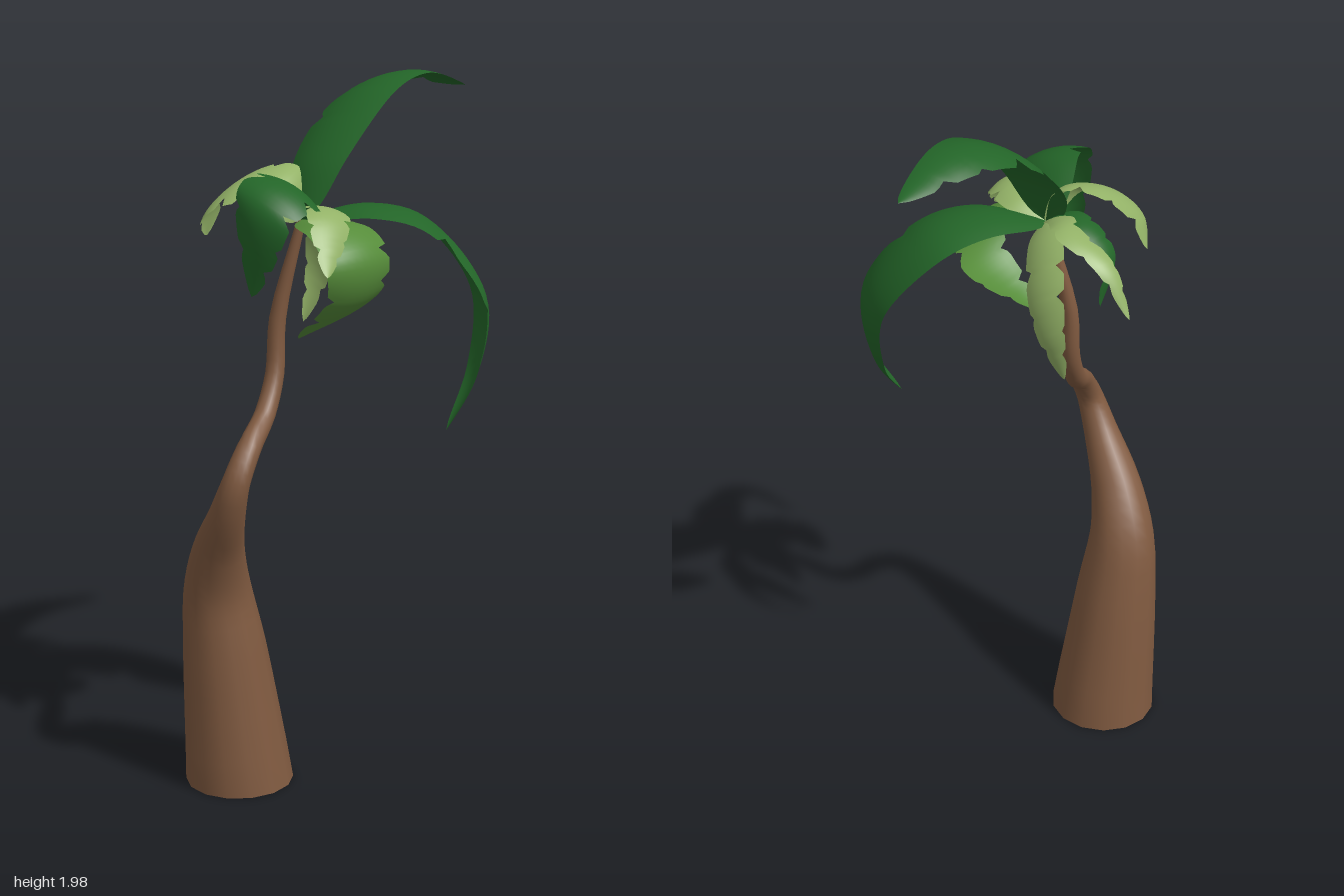
import * as THREE from 'three';

const mat = (name, color) => {
  const m = new THREE.MeshStandardMaterial({ color, side: THREE.DoubleSide });
  m.name = name;
  return m;
};

const CROWN = [-0.165, 1.62, -0.07];
const curve = (pts) => new THREE.CatmullRomCurve3(pts.map((p) => new THREE.Vector3(...p)));

// Surface from a grid of points; optionally closed around each row
function gridGeometry(rows, closed) {
  const n = rows[0].length, pos = [], idx = [];
  rows.forEach((row) => row.forEach((p) => pos.push(p.x, p.y, p.z)));
  for (let i = 0; i < rows.length - 1; i++) {
    for (let j = 0; j < (closed ? n : n - 1); j++) {
      const a = i * n + j, b = i * n + ((j + 1) % n);
      idx.push(a, b, a + n, b, b + n, a + n);
    }
  }
  const g = new THREE.BufferGeometry();
  g.setAttribute('position', new THREE.Float32BufferAttribute(pos, 3));
  g.setIndex(idx);
  g.computeVertexNormals();
  return g;
}

// Winding, tapering trunk, open at the base: x, y, z, radius
function trunkGeometry() {
  const stations = [
    [-0.258, 0, -0.235, 0.153], [-0.29, 0.4, -0.256, 0.118],
    [-0.315, 0.58, -0.257, 0.096], [-0.362, 0.72, -0.212, 0.073], [-0.415, 0.85, -0.137, 0.05],
    [-0.423, 0.95, -0.097, 0.038], [-0.37, 1.03, -0.095, 0.033], [-0.27, 1.1, -0.118, 0.029],
    [-0.21, 1.2, -0.13, 0.026], [-0.195, 1.35, -0.13, 0.023], [...CROWN, 0.012],
  ];
  const path = curve(stations.map((s) => s.slice(0, 3)));
  const radii = curve(stations.map((s) => [s[3], 0, 0]));
  const rows = [], STEPS = 40, SIDES = 14;
  for (let i = 0; i <= STEPS; i++) {
    const t = i / STEPS, c = path.getPoint(t), r = radii.getPoint(t).x;
    const T = i ? path.getTangent(t) : new THREE.Vector3(0, 1, 0);
    const u = new THREE.Vector3(1, 0, 0).addScaledVector(T, -T.x).normalize();
    const v = new THREE.Vector3().crossVectors(T, u);
    rows.push(Array.from({ length: SIDES }, (_, j) => {
      const a = (j / SIDES) * Math.PI * 2;
      return c.clone().addScaledVector(u, r * Math.cos(a)).addScaledVector(v, r * Math.sin(a));
    }));
  }
  return gridGeometry(rows, true);
}

// Saw-toothed tears along the outer part of a leaf edge
const tear = (t, teeth) => {
  if (t < 0.4 || t > 0.97) return 0;
  const f = ((t - 0.4) * teeth / 0.6) % 1;
  return f < 0.3 ? 0.35 * (1 - f / 0.3) : 0;
};

// Arched leaf blade: a spine from the crown and a half-width vector to its right edge
function frondGeometry({ spine, half, smoothEdge }) {
  const path = curve([CROWN, ...spine]), right = new THREE.Vector3(...half);
  const rows = [], STEPS = 40, COLS = 8;
  for (let i = 0; i <= STEPS; i++) {
    const t = i / STEPS, c = path.getPointAt(t);
    const width = Math.pow(Math.max(0, Math.sin(Math.PI * Math.pow(t, 0.75))), 0.7);
    const up = new THREE.Vector3().crossVectors(right, path.getTangentAt(t));
    const leftEdge = smoothEdge === 'left' ? -1 : tear(t, 4) - 1;
    const rightEdge = smoothEdge === 'right' ? 1 : 1 - tear(t, 3);
    rows.push(Array.from({ length: COLS + 1 }, (_, j) => {
      const s = THREE.MathUtils.lerp(leftEdge, rightEdge, j / COLS);
      return c.clone().addScaledVector(right, s * width)
        .addScaledVector(up, 0.2 * width * (0.5 - s * s));
    }));
  }
  return gridGeometry(rows, false);
}

export function createModel() {
  const bark = mat('bark brown', 0x805a40);
  const dark = mat('dark green', 0x236528);
  const light = mat('light green', 0x93b267);
  const mid = mat('mid green', 0x568c3a);

  const fronds = [
    { name: 'raisedFrond', material: dark, smoothEdge: 'right', half: [-0.01, 0.02, 0.11],
      spine: [[-0.08, 1.77, -0.08], [0.1, 1.93, -0.06], [0.26, 1.97, -0.03], [0.468, 1.92, 0.03]] },
    { name: 'longFrontFrond', material: dark, smoothEdge: 'left', half: [-0.09, 0, 0.085],
      spine: [[-0.05, 1.65, 0.07], [0.05, 1.61, 0.18], [0.11, 1.42, 0.325], [0.075, 1.22, 0.33],
        [-0.03, 1.07, 0.31]] },
    { name: 'rightFrond', material: dark, half: [0, 0.04, -0.097],
      spine: [[-0.3, 1.73, 0], [-0.415, 1.7, 0], [-0.42, 1.46, -0.04]] },
    { name: 'backFrond', material: dark, half: [0.045, 0, 0.01],
      spine: [[-0.13, 1.67, -0.15], [-0.095, 1.66, -0.225], [-0.083, 1.59, -0.29], [-0.06, 1.46, -0.28]] },
    { name: 'curledFrontFrond', material: mid, half: [-0.115, 0, -0.02],
      spine: [[-0.19, 1.615, 0.08], [-0.215, 1.545, 0.16], [-0.205, 1.44, 0.14], [-0.22, 1.31, -0.04]] },
    { name: 'frontRightFrond', material: light, half: [-0.06, 0.015, -0.03],
      spine: [[-0.2, 1.665, 0.02], [-0.275, 1.66, 0.105], [-0.385, 1.53, 0.18]] },
    { name: 'backRightFrond', material: light, half: [0.1, 0.04, -0.005],
      spine: [[-0.185, 1.715, -0.12], [-0.225, 1.715, -0.21], [-0.26, 1.645, -0.295], [-0.24, 1.56, -0.335]] },
    { name: 'farBackFrond', material: light, half: [0.038, 0, 0.02],
      spine: [[-0.08, 1.68, -0.15], [0.01, 1.695, -0.215], [0.04, 1.635, -0.335], [0.045, 1.5, -0.41]] },
    { name: 'leftHangingFrond', material: light, half: [0, -0.03, 0.055],
      spine: [[-0.035, 1.62, -0.125], [0.055, 1.535, -0.17], [0.08, 1.425, -0.2], [0.05, 1.28, -0.23]] },
  ];

  const group = new THREE.Group();
  group.name = 'palmTree';
  const add = (name, geometry, material) => {
    const mesh = new THREE.Mesh(geometry, material);
    mesh.name = name;
    group.add(mesh);
  };
  add('trunk', trunkGeometry(), bark);
  fronds.forEach((f) => add(f.name, frondGeometry(f), f.material));
  return group;
}
